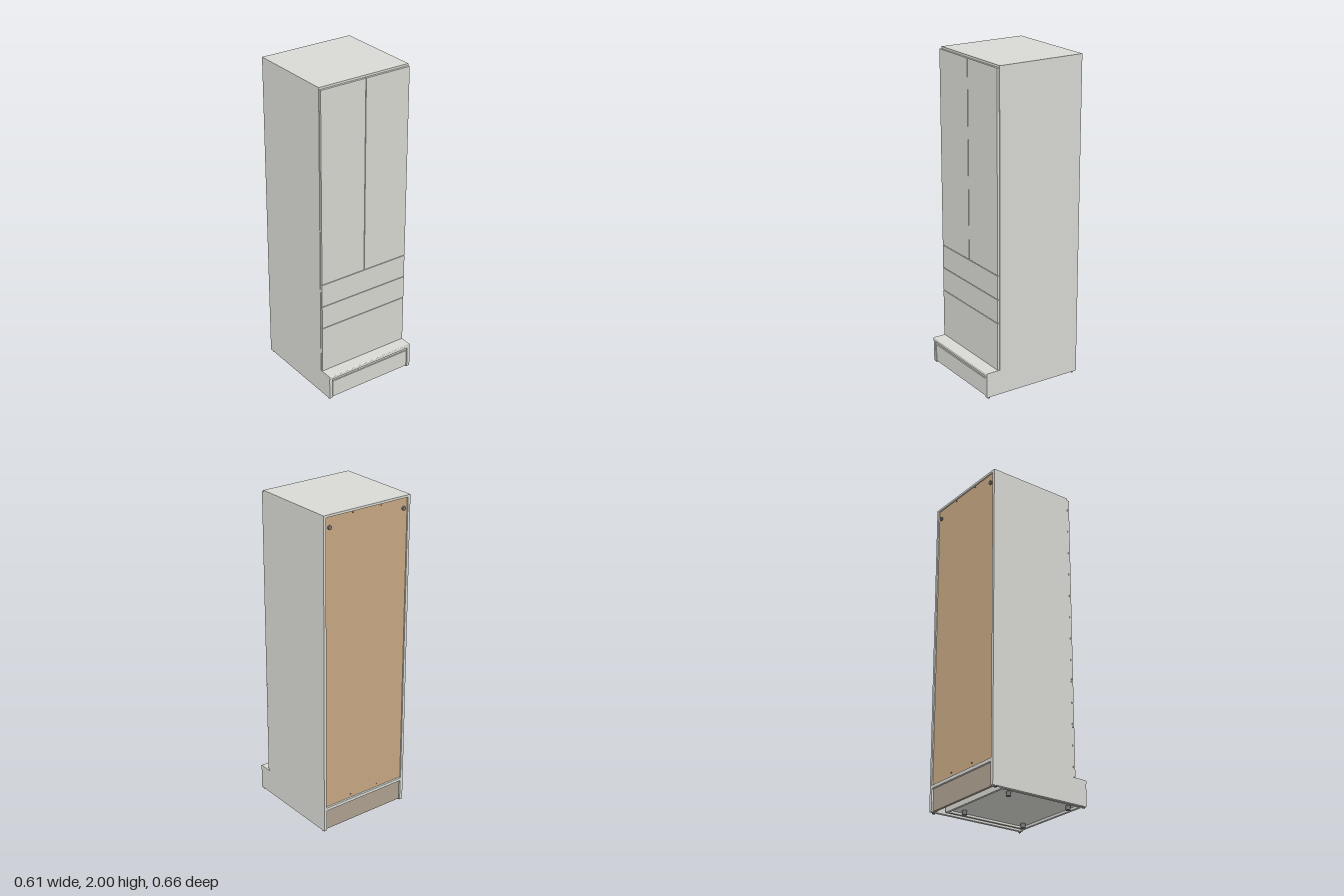
import * as THREE from 'three';

const paint = new THREE.MeshStandardMaterial({ color: 0xd9d9d4 });
paint.name = 'pale grey paint';
const hardboard = new THREE.MeshStandardMaterial({ color: 0xc9aa84 });
hardboard.name = 'brown hardboard';
const taupe = new THREE.MeshStandardMaterial({ color: 0xb0a392 });
taupe.name = 'taupe board';
const fixing = new THREE.MeshStandardMaterial({ color: 0x77777a });
fixing.name = 'grey fixing';

// Box given by its lower and upper limits on each axis
function board(parent, name, [x0, x1], [y0, y1], [z0, z1], material = paint) {
  const mesh = new THREE.Mesh(new THREE.BoxGeometry(x1 - x0, y1 - y0, z1 - z0), material);
  mesh.position.set((x0 + x1) / 2, (y0 + y1) / 2, (z0 + z1) / 2);
  mesh.name = name;
  parent.add(mesh);
  return mesh;
}

function disc(parent, name, radius, length, x, y, z, axis) {
  const geometry = new THREE.CylinderGeometry(radius, radius, length, 16);
  if (axis === 'z') geometry.rotateX(Math.PI / 2);
  const mesh = new THREE.Mesh(geometry, fixing);
  mesh.position.set(x, y, z);
  mesh.name = name;
  parent.add(mesh);
}

export function createModel() {
  const model = new THREE.Group();
  model.name = 'wardrobe';
  const W = 0.306, BACK = -0.328, FRONT = 0.328, T = 0.017;

  // Carcass
  const carcass = new THREE.Group();
  carcass.name = 'carcass';
  model.add(carcass);
  board(carcass, 'topPanel', [-W, W], [1.986, 2], [BACK, 0.234]);
  board(carcass, 'bottomPanel', [-W + T, W - T], [0.165, 0.182], [BACK + 0.012, 0.234]);
  for (const s of [-1, 1]) {
    const xs = [s * W, s * (W - T)].sort((a, b) => a - b);
    board(carcass, s > 0 ? 'leftSide' : 'rightSide', xs, [0.165, 1.986], [BACK, 0.234]);
    // Round fixings at the upper corners of the back
    disc(carcass, 'wallFixing', 0.012, 0.012, s * 0.262, 1.925, BACK + 0.004, 'z');
    for (const y of [0.19, 1.976]) {
      disc(carcass, 'backScrew', 0.004, 0.005, s * 0.1, y, BACK + 0.006, 'z');
    }
  }
  board(carcass, 'backPanel', [-W + T, W - T], [0.17, 1.986], [BACK + 0.008, BACK + 0.014], hardboard);
  for (const y of [0.469, 0.619, 0.769]) {
    board(carcass, 'shelf', [-W + T, W - T], [y - 0.008, y + 0.008], [BACK + 0.014, 0.232]);
  }

  // Doors and drawer fronts
  const fronts = new THREE.Group();
  fronts.name = 'fronts';
  model.add(fronts);
  const FZ = [0.236, 0.25];
  board(fronts, 'rightDoor', [-0.304, -0.002], [0.772, 1.988], FZ);
  board(fronts, 'leftDoor', [0.002, 0.304], [0.772, 1.988], FZ);
  for (const ys of [[0.622, 0.768], [0.472, 0.618], [0.168, 0.468]]) {
    board(fronts, 'drawerFront', [-0.304, 0.304], ys, FZ);
  }

  // Plinth: top board with a rounded front edge
  const plinth = new THREE.Group();
  plinth.name = 'plinth';
  model.add(plinth);
  const r = 0.006;
  const profile = new THREE.Shape();
  profile.moveTo(BACK, 0.145);
  profile.lineTo(FRONT, 0.145);
  profile.lineTo(FRONT, 0.165 - r);
  profile.absarc(FRONT - r, 0.165 - r, r, 0, Math.PI / 2, false);
  profile.lineTo(BACK, 0.165);
  const topGeometry = new THREE.ExtrudeGeometry(profile, { depth: 2 * W, bevelEnabled: false, curveSegments: 5 });
  topGeometry.translate(0, 0, -W).rotateY(-Math.PI / 2);
  // Shape x now points to +z
  const topBoard = new THREE.Mesh(topGeometry, paint);
  topBoard.name = 'plinthTop';
  plinth.add(topBoard);

  // Plinth sides, rails and back
  for (const s of [-1, 1]) {
    const xs = [s * W, s * (W - 0.02)].sort((a, b) => a - b);
    board(plinth, s > 0 ? 'plinthLeftSide' : 'plinthRightSide', xs, [0.008, 0.145], [BACK, FRONT - 0.002]);
    for (const z of [0.31, -0.305]) disc(plinth, 'glide', 0.008, 0.008, s * 0.296, 0.004, z, 'y');
  }
  board(plinth, 'plinthFrontRail', [-W + 0.02, W - 0.02], [0.127, 0.145], [0.3, 0.318]);
  board(plinth, 'plinthBack', [-W + 0.02, W - 0.02], [0.01, 0.145], [BACK + 0.012, BACK + 0.028], taupe);

  // Low drawer inside the plinth
  const drawer = new THREE.Group();
  drawer.name = 'plinthDrawer';
  model.add(drawer);
  board(drawer, 'plinthDrawerFront', [-0.281, 0.281], [0.013, 0.124], [0.306, 0.322]);
  board(drawer, 'plinthDrawerBack', [-0.272, 0.272], [0.015, 0.11], [-0.24, -0.225]);
  board(drawer, 'plinthDrawerBottom', [-0.257, 0.257], [0.028, 0.036], [-0.225, 0.306]);
  for (const s of [-1, 1]) {
    const xs = [s * 0.272, s * 0.257].sort((a, b) => a - b);
    board(drawer, 'plinthDrawerSide', xs, [0.015, 0.11], [-0.225, 0.306]);
    for (const z of [0.27, -0.15]) disc(drawer, 'caster', 0.014, 0.026, s * 0.21, 0.015, z, 'y');
  }
  return model;
}
